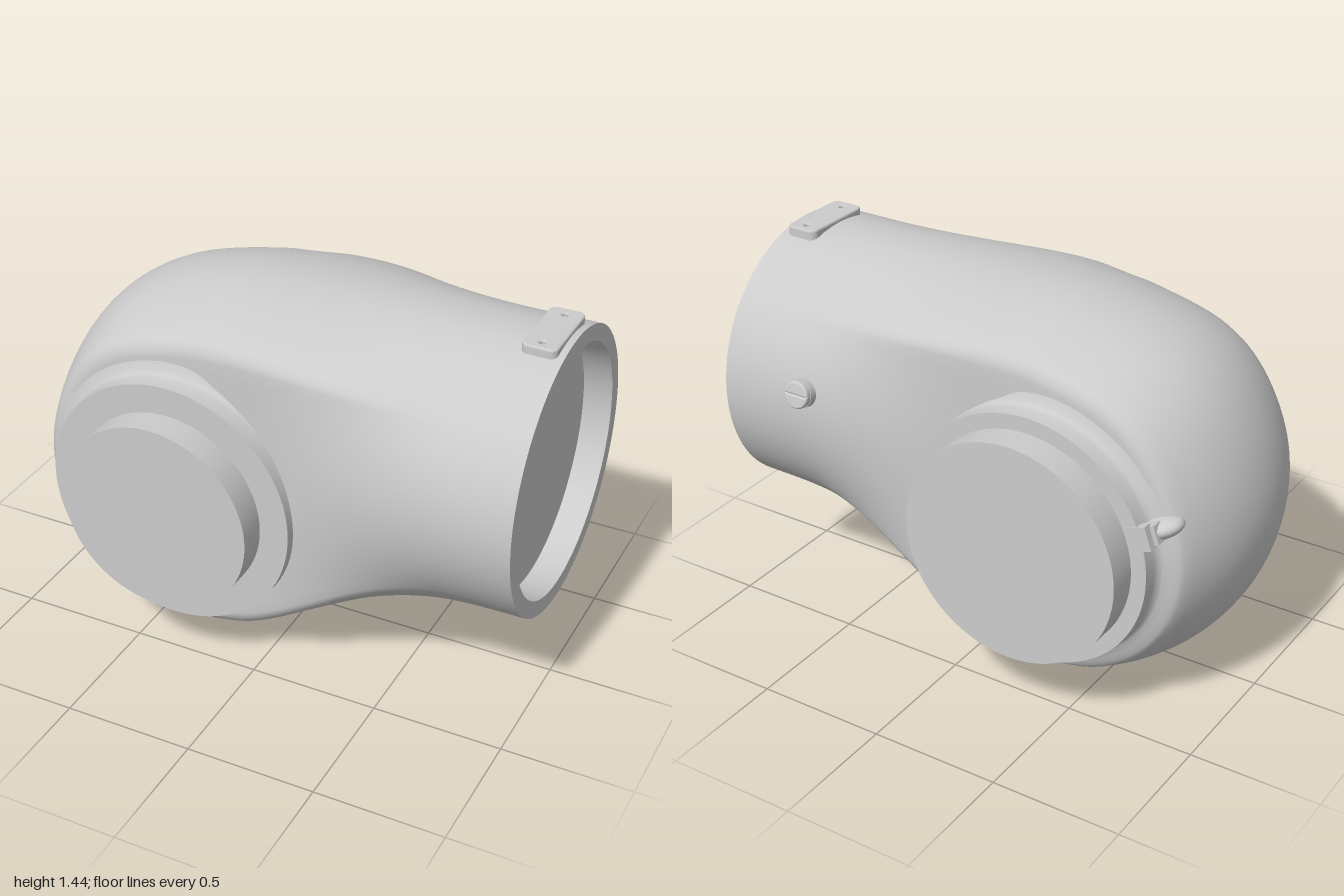
import * as THREE from 'three';
import { mergeVertices, toCreasedNormals } from 'three/addons/utils/BufferGeometryUtils.js';

const material = new THREE.MeshStandardMaterial({ color: 0xcccccc });
const HUB = [-0.325, 0.675];

function add(parent, name, geometry, x = 0, y = 0, z = 0) {
  const mesh = new THREE.Mesh(geometry, material);
  mesh.name = name;
  mesh.position.set(x, y, z);
  parent.add(mesh);
  return mesh;
}

function lathe(points, segments = 96) {
  const profile = points.map(([r, h]) => new THREE.Vector2(r, h));
  return toCreasedNormals(new THREE.LatheGeometry(profile, segments), 0.6);
}

// Elbow skin: an outline loft around a core line. Barrel section at the hub, round at the mouth.
function elbowGeometry() {
  // outline x, y, core x, y, half width; from lower mouth round the hub to upper mouth
  const stations = [
    [1, 0.356, 1, 0.893, 0.537], [0.8, 0.348, 0.8, 0.893, 0.533],
    [0.6, 0.322, 0.6, 0.885, 0.525], [0.4, 0.267, 0.4, 0.865, 0.512],
    [0.2, 0.18, 0.2, 0.82, 0.492], [0, 0.085, 0, 0.75, 0.46],
    [-0.15, 0.025, -0.18, 0.7, 0.437], [-0.325, 0.003, ...HUB, 0.43],
    [-0.583, 0.051, ...HUB, 0.43], [-0.802, 0.198, ...HUB, 0.43],
    [-0.949, 0.417, ...HUB, 0.43], [-1, 0.675, ...HUB, 0.43],
    [-0.95, 0.94, ...HUB, 0.43], [-0.815, 1.18, ...HUB, 0.43],
    [-0.62, 1.325, ...HUB, 0.43], [-0.325, 1.405, ...HUB, 0.43],
    [-0.18, 1.42, -0.18, 0.7, 0.437], [0, 1.427, 0, 0.75, 0.46],
    [0.2, 1.432, 0.2, 0.82, 0.492], [0.4, 1.434, 0.4, 0.865, 0.512],
    [0.6, 1.433, 0.6, 0.885, 0.525], [0.8, 1.431, 0.8, 0.893, 0.533],
    [1, 1.43, 1, 0.893, 0.537],
  ];
  const spline = (pick) => new THREE.CatmullRomCurve3(
    stations.map((s) => new THREE.Vector3(...pick(s))), false, 'catmullrom', 0.5);
  const outline = spline((s) => [s[0], s[1], s[4]]);
  const core = spline((s) => [s[2], s[3], 0]);

  // half of the barrel section: crown arc, rounded shoulder, flat cheek
  const half = [];
  for (let i = 0; i <= 10; i++) {
    const s = i * 0.094;
    half.push([1 - 0.17 * s * s, s]);
  }
  half.push([0.825, 0.97], [0.8, 0.99], [0.77, 1]);
  for (let i = 1; i <= 10; i++) half.push([0.77 * (1 - i / 10), 1]);
  const section = [...half.slice(1).reverse().map(([c, s]) => [c, -s]), ...half];

  const rows = 132, cols = section.length;
  const positions = [], index = [];
  for (let i = 0; i <= rows; i++) {
    const p = outline.getPoint(i / rows), m = core.getPoint(i / rows);
    const barrel = 1 - THREE.MathUtils.smoothstep(m.x, -0.1, 0.75);
    section.forEach(([c, s], j) => {
      const f = THREE.MathUtils.lerp(1 / Math.hypot(c, s), 1, barrel);
      positions.push(m.x + (p.x - m.x) * c * f, m.y + (p.y - m.y) * c * f, p.z * s * f);
      if (i < rows && j < cols - 1) {
        const a = i * cols + j, b = a + 1, d = a + cols;
        index.push(a, b, d, b, d + 1, d);
      }
    });
  }
  const geometry = new THREE.BufferGeometry();
  geometry.setAttribute('position', new THREE.Float32BufferAttribute(positions, 3));
  geometry.setIndex(index);
  const merged = mergeVertices(geometry, 1e-4);
  merged.computeVertexNormals();
  return merged;
}

// Stepped round boss with a filleted foot and a narrower stub
function addBoss(parent, name, side, stubRadius) {
  const boss = add(parent, name, lathe([
    [0.56, 0.415], [0.53, 0.432], [0.505, 0.438], [0.492, 0.45], [0.487, 0.47],
    [0.487, 0.525], [stubRadius, 0.525], [stubRadius, 0.64], [0, 0.64],
  ]), ...HUB);
  boss.rotation.x = side * Math.PI / 2;
}

// Rounded plate with two screw holes, lying on top of the mouth
function plateGeometry() {
  const w = 0.058, l = 0.145, r = 0.02;
  const shape = new THREE.Shape();
  shape.absarc(w - r, l - r, r, 0, Math.PI / 2);
  shape.absarc(-w + r, l - r, r, Math.PI / 2, Math.PI);
  shape.absarc(-w + r, -l + r, r, Math.PI, Math.PI * 1.5);
  shape.absarc(w - r, -l + r, r, Math.PI * 1.5, Math.PI * 2);
  shape.closePath();
  for (const y of [-0.108, 0.108]) {
    const hole = new THREE.Path();
    hole.absarc(0, y, 0.018, 0, Math.PI * 2, true);
    shape.holes.push(hole);
  }
  const geometry = new THREE.ExtrudeGeometry(shape, {
    depth: 0.05, bevelSize: 0.007, bevelThickness: 0.007, bevelSegments: 2, curveSegments: 10,
  });
  return geometry.rotateX(-Math.PI / 2);
}

// Slotted screw: shank and two half heads
function addScrew(parent) {
  const screw = new THREE.Group();
  screw.name = 'screw';
  add(screw, 'screwShank', lathe([[0.055, -0.03], [0.055, 0.025], [0, 0.025]], 32));
  for (const side of [0, Math.PI]) {
    const shape = new THREE.Shape();
    const a = 0.16;
    shape.absarc(0, 0, 0.045, a, Math.PI - a);
    shape.closePath();
    const head = add(screw, 'screwHeadHalf', new THREE.ExtrudeGeometry(shape, {
      depth: 0.018, bevelSize: 0.008, bevelThickness: 0.01, bevelSegments: 3, curveSegments: 20,
    }).rotateX(-Math.PI / 2), 0, 0.02, 0);
    head.rotation.y = side;
  }
  screw.position.set(0.64, 0.985, -0.52);
  screw.rotation.x = -Math.PI / 2 + 0.19;
  parent.add(screw);
}

// Pointer beside the rear boss: a square tab with a tapered pod behind it
function addPointer(parent) {
  const pointer = new THREE.Group();
  pointer.name = 'pointer';
  add(pointer, 'pointerTab', new THREE.BoxGeometry(0.085, 0.09, 0.035), 0.475, 0, -0.51);
  add(pointer, 'pointerFoot', new THREE.BoxGeometry(0.07, 0.07, 0.1), 0.5, 0, -0.45);
  const pod = add(pointer, 'pointerPod', new THREE.SphereGeometry(1, 24, 16), 0.51, 0, -0.42);
  pod.scale.set(0.085, 0.04, 0.075);
  pointer.position.set(...HUB, 0);
  pointer.rotation.z = Math.PI - 0.33;
  parent.add(pointer);
}

export function createModel() {
  const model = new THREE.Group();
  model.name = 'pipeElbow';
  add(model, 'elbowBody', elbowGeometry());

  // Recessed mouth
  const mouth = add(model, 'mouth', lathe([
    [0.537, 1], [0.473, 1], [0.473, 0.89], [0, 0.89],
  ]), 0, 0.893);
  mouth.rotation.z = -Math.PI / 2;

  addBoss(model, 'frontBoss', 1, 0.375);
  addBoss(model, 'rearBoss', -1, 0.428);

  add(model, 'topPlate', plateGeometry(), 0.91, 1.388, -0.008);
  addScrew(model);
  addPointer(model);
  return model;
}
